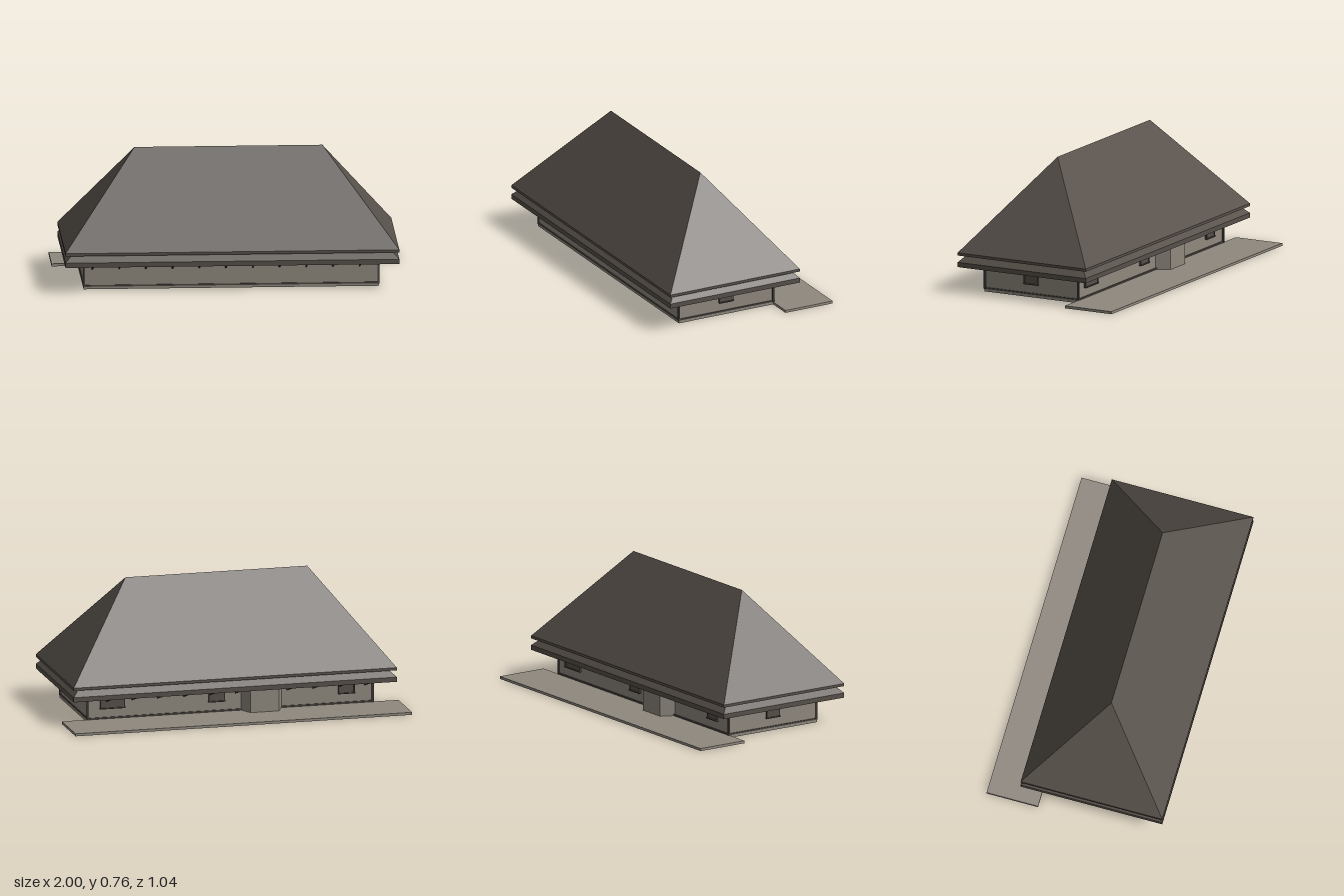
import * as THREE from 'three';

const mat = (name, color, side = THREE.FrontSide) => {
  const m = new THREE.MeshStandardMaterial({ color, side });
  m.name = name;
  return m;
};

export function createModel() {
  const house = new THREE.Group();
  house.name = 'hippedRoofHouse';
  const plaster = mat('plaster', 0x8f887e);
  const roofing = mat('roofing', 0x57504a);
  const timber = mat('darkTimber', 0x4b4640);

  const add = (name, geo, material, parent = house) => {
    const m = new THREE.Mesh(geo, material);
    m.name = name;
    parent.add(m);
    return m;
  };
  // Box given by its limits on each axis
  const box = (name, material, [x0, x1], [y0, y1], [z0, z1], parent = house) => {
    const m = add(name, new THREE.BoxGeometry(x1 - x0, y1 - y0, z1 - z0), material, parent);
    m.position.set((x0 + x1) / 2, (y0 + y1) / 2, (z0 + z1) / 2);
    return m;
  };

  // Closed solid through rectangular levels [y, half width, half depth]
  const tier = (name, levels, cz) => {
    const pos = [];
    const ring = ([y, hx, hz]) =>
      [[-hx, hz], [hx, hz], [hx, -hz], [-hx, -hz]].map(([x, z]) => [x, y, z + cz]);
    const quad = (a, b, c, d) => pos.push(...a, ...b, ...c, ...a, ...c, ...d);
    const rings = levels.map(ring);
    for (let i = 0; i < rings.length - 1; i++) {
      for (let k = 0; k < 4; k++) {
        const n = (k + 1) % 4;
        quad(rings[i][k], rings[i][n], rings[i + 1][n], rings[i + 1][k]);
      }
    }
    const [a, b, c, d] = rings[0];
    quad(d, c, b, a);
    const top = rings[rings.length - 1];
    if (levels[levels.length - 1][2] > 0) quad(...top);
    const geo = new THREE.BufferGeometry();
    geo.setAttribute('position', new THREE.Float32BufferAttribute(pos, 3));
    geo.computeVertexNormals();
    return add(name, geo, roofing);
  };

  // Ground slab and rear terrace
  const X = 0.85, Z0 = -0.215, Z1 = 0.405;
  box('floorSlab', plaster, [-X, X], [0, 0.015], [-0.21, Z1]);
  box('rearTerrace', plaster, [-1, 1], [0, 0.015], [-0.517, -0.21]);

  // Walls with timber sill, top plate and corner posts
  box('walls', plaster, [-X + 0.006, X - 0.006], [0.015, 0.153], [Z0 + 0.006, Z1 - 0.002]);
  for (const [label, y0, y1] of [['sill', 0.015, 0.024], ['topPlate', 0.136, 0.148]]) {
    box(label + 'Front', timber, [-X, X], [y0, y1], [Z1 - 0.006, Z1 + 0.003]);
    box(label + 'Back', timber, [-X, X], [y0, y1], [Z0, Z0 + 0.01]);
    for (const s of [-1, 1]) {
      const xs = s > 0 ? [X - 0.01, X] : [-X, -X + 0.01];
      box(label + 'Side', timber, xs, [y0, y1], [Z0, Z1]);
    }
  }
  for (const s of [-1, 1]) {
    const xs = s > 0 ? [X - 0.009, X + 0.002] : [-X - 0.002, -X + 0.009];
    box('cornerPost', timber, xs, [0.015, 0.153], [Z1 - 0.006, Z1 + 0.004]);
    box('cornerPost', timber, xs, [0.015, 0.153], [Z0 - 0.002, Z0 + 0.008]);
  }

  // Two-tier hipped roof
  const cz = 0.0975;
  tier('lowerEave', [[0.152, 0.96, 0.4225], [0.18, 0.96, 0.4225], [0.222, 0.918, 0.3805]], cz);
  tier('mainRoof', [[0.22, 0.96, 0.4225], [0.236, 0.96, 0.4225], [0.765, 0.54, 0]], cz);

  // Tapered eave brackets along the front and back
  const profile = new THREE.Shape([
    new THREE.Vector2(0, 0.116), new THREE.Vector2(0.092, 0.145),
    new THREE.Vector2(0.092, 0.154), new THREE.Vector2(0, 0.154),
  ]);
  const bracketGeo = new THREE.ExtrudeGeometry(profile, { depth: 0.008, bevelEnabled: false });
  bracketGeo.translate(0, 0, -0.004);
  for (let i = 0; i < 11; i++) {
    const x = -0.8 + i * 0.1537;
    const front = add('frontBracket', bracketGeo, timber);
    front.position.set(x, 0, Z1);
    front.rotation.y = -Math.PI / 2;
    const back = add('backBracket', bracketGeo, timber);
    back.position.set(x, 0, Z0 + 0.004);
    back.rotation.y = Math.PI / 2;
  }

  // Small framed window hung under the eave, facing +z before it is turned
  const windowUnit = (name, width, x, z, turn) => {
    const g = new THREE.Group();
    g.name = name;
    const w = width / 2;
    box('pane', roofing, [-w, w], [0.08, 0.152], [-0.006, 0.003], g);
    for (const s of [-1, 1]) {
      box('jamb', timber, [s * w - 0.003, s * w + 0.003], [0.078, 0.152], [-0.006, 0.006], g);
    }
    box('windowSill', timber, [-w - 0.005, w + 0.005], [0.074, 0.08], [-0.006, 0.01], g);
    g.position.set(x, 0, z);
    g.rotation.y = turn;
    house.add(g);
  };
  windowUnit('leftWindow', 0.085, X, 0.097, Math.PI / 2);
  windowUnit('rightWindow', 0.085, -X, 0.097, -Math.PI / 2);
  for (const [x, w] of [[0.7, 0.14], [0.08, 0.09], [-0.69, 0.09]]) {
    windowUnit('backWindow', w, x, Z0, Math.PI);
  }

  // Splayed entrance bay at the back
  const plan = new THREE.Shape([
    new THREE.Vector2(-0.31, 0.2), new THREE.Vector2(-0.06, 0.2),
    new THREE.Vector2(-0.1, 0.287), new THREE.Vector2(-0.27, 0.287),
  ]);
  const bay = add('entranceBay',
    new THREE.ExtrudeGeometry(plan, { depth: 0.139, bevelEnabled: false }), plaster);
  bay.rotation.x = -Math.PI / 2;
  bay.position.y = 0.014;

  return house;
}
